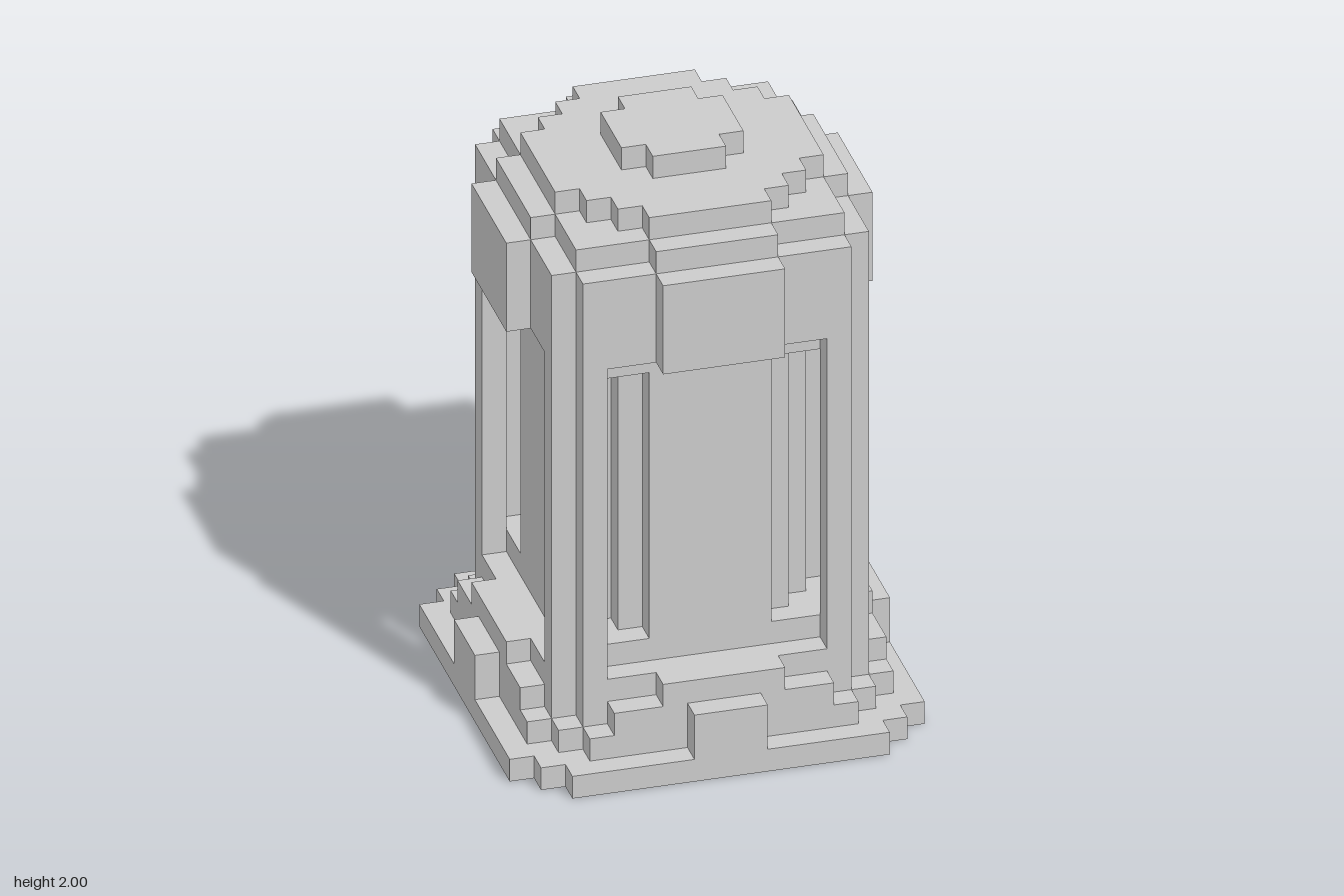
import * as THREE from 'three';

const U = 0.08; // edge of one block; all sizes below are in blocks
const material = new THREE.MeshStandardMaterial({ color: 0xcccccc, flatShading: true });

// Box centred on x, spanning y0..y1 and z0..z1
function block(parent, name, x, width, y0, y1, z0, z1) {
  const geo = new THREE.BoxGeometry(width * U, (y1 - y0) * U, (z1 - z0) * U);
  geo.translate(x * U, (y0 + y1) / 2 * U, (z0 + z1) / 2 * U);
  const mesh = new THREE.Mesh(geo, material);
  mesh.name = name;
  parent.add(mesh);
}

// One corner's stepped outline, repeated by quarter turns
function outline(corner) {
  const points = [];
  for (let k = 0; k < 4; k++) {
    for (const [a, b] of corner) {
      const [x, y] = [[a, b], [-b, a], [-a, -b], [b, -a]][k];
      points.push(new THREE.Vector2(x * U, y * U));
    }
  }
  return points;
}

// Horizontal slab with a stepped outline and an optional hole
function slab(parent, name, y0, y1, corner, hole) {
  const shape = new THREE.Shape(outline(corner));
  if (hole) shape.holes.push(new THREE.Path(outline(hole)));
  const geo = new THREE.ExtrudeGeometry(shape, { depth: (y1 - y0) * U, bevelEnabled: false });
  geo.rotateX(-Math.PI / 2).translate(0, y0 * U, 0);
  const mesh = new THREE.Mesh(geo, material);
  mesh.name = name;
  parent.add(mesh);
}

// Everything that repeats on each of the four sides
function createSide() {
  const side = new THREE.Group();
  block(side, 'baseWall', 0, 11, 1, 4, 5.5, 6.5);
  block(side, 'baseCorner', 6, 1, 1, 2, 5.5, 6.5);
  [11, 9, 5].forEach((w, i) => block(side, 'baseStep', 0, w, 1 + i, 2 + i, 6.5, 7.5));
  block(side, 'baseBlock', 0, 3, 1, 3, 7.5, 8.5);
  block(side, 'upperWall', 0, 11, 18, 22, 5.5, 6.5);
  block(side, 'upperPanel', 0, 5, 18, 22, 6.5, 7.5);
  block(side, 'coreWall', 0, 5, 5, 17, 4.5, 5.5);
  for (const s of [-1, 1]) {
    block(side, 'cornerPost', 5 * s, 1, 4, 18, 5.5, 6.5);
    block(side, 'coreCorner', 3 * s, 1, 5, 17, 3.5, 4.5);
  }
  return side;
}

export function createModel() {
  const model = new THREE.Group();
  model.name = 'lantern';

  // Open foot plate
  slab(model, 'footPlate', 0, 1,
    [[8.5, 6.5], [7.5, 6.5], [7.5, 7.5], [6.5, 7.5], [6.5, 8.5]], [[6.5, 6.5]]);

  // Four sides
  for (let k = 0; k < 4; k++) {
    const side = createSide();
    side.name = 'side' + (k + 1);
    side.rotation.y = k * Math.PI / 2;
    model.add(side);
  }

  // Rings that hold the hollow core
  const coreHole = [[4.5, 3.5], [3.5, 3.5], [3.5, 4.5]];
  slab(model, 'lowerRing', 4, 5, [[5.5, 5.5]], coreHole);
  slab(model, 'upperRing', 17, 18, [[5.5, 5.5]], coreHole);

  // Stepped roof
  slab(model, 'roofBase', 22, 23, [[6.5, 2.5], [5.5, 2.5], [5.5, 5.5], [2.5, 5.5], [2.5, 6.5]]);
  slab(model, 'roofDisc', 23, 24,
    [[5.5, 2.5], [4.5, 2.5], [4.5, 3.5], [3.5, 3.5], [3.5, 4.5], [2.5, 4.5], [2.5, 5.5]]);
  slab(model, 'roofCap', 24, 25, [[2.5, 1.5], [1.5, 1.5], [1.5, 2.5]]);

  return model;
}
